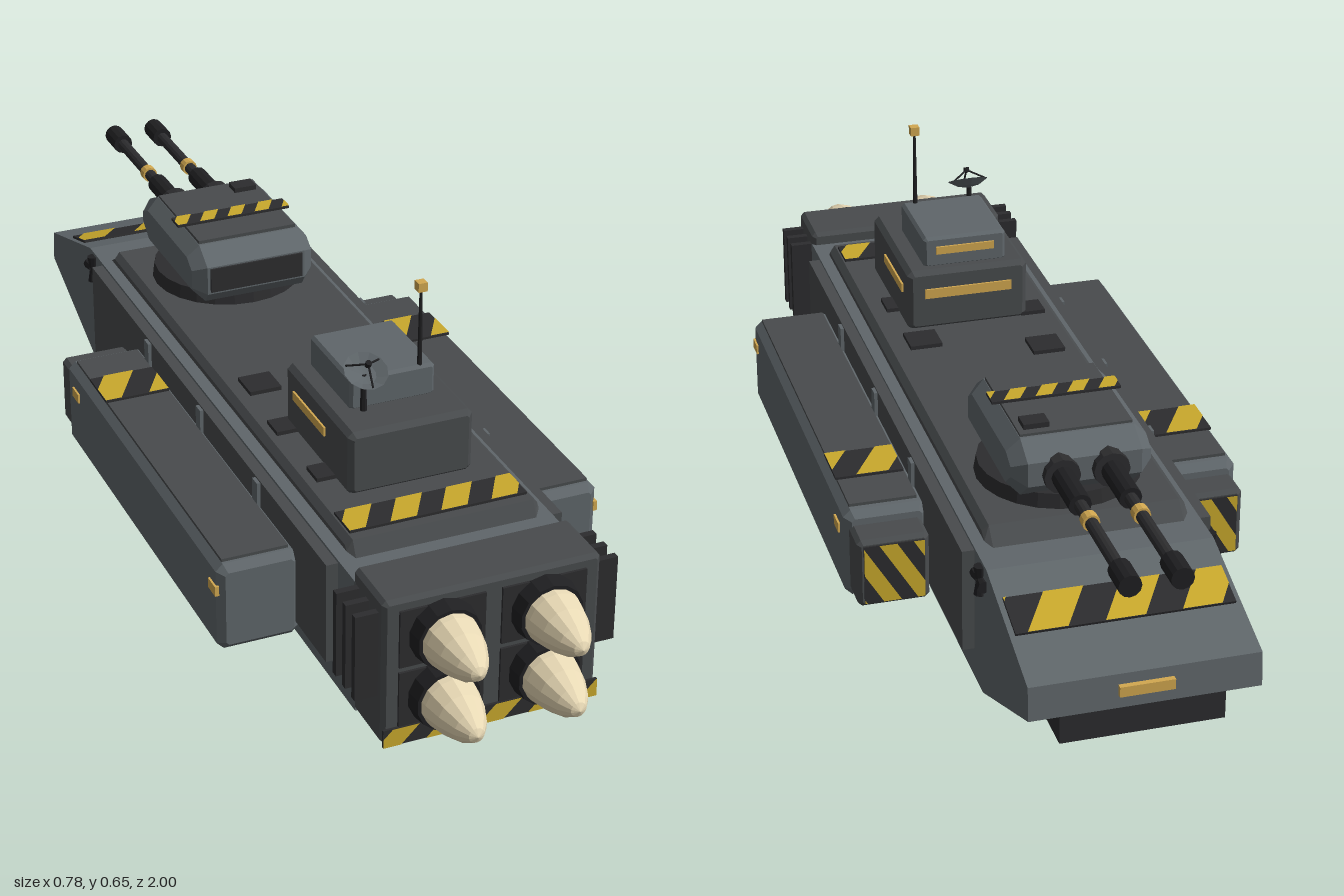
import * as THREE from 'three';

const mat = (color) => new THREE.MeshStandardMaterial({ color, flatShading: true, side: THREE.DoubleSide });
const M = {
  hull: mat(0x5f666a), panel: mat(0x484b4d), dark: mat(0x2c2c2e), black: mat(0x1f1f21),
  yellow: mat(0xc9a92c), gold: mat(0xd2a850), cream: mat(0xe8d9b5),
};

export function createModel() {
  const root = new THREE.Group();

  const add = (name, geo, m, x = 0, y = 0, z = 0, parent = root) => {
    const mesh = new THREE.Mesh(geo, m);
    mesh.name = name;
    mesh.position.set(x, y, z);
    parent.add(mesh);
    return mesh;
  };
  // plain box given by its extents
  const box = (name, m, x0, x1, y0, y1, z0, z1, parent) =>
    add(name, new THREE.BoxGeometry(x1 - x0, y1 - y0, z1 - z0), m,
      (x0 + x1) / 2, (y0 + y1) / 2, (z0 + z1) / 2, parent);
  // box with all edges chamfered by b
  const chamferBox = (name, m, x0, x1, y0, y1, z0, z1, b, parent) => {
    const w = (x1 - x0) / 2, h = (y1 - y0) / 2, d = z1 - z0;
    const s = new THREE.Shape([[w - b, -h], [w, b - h], [w, h - b], [w - b, h],
      [b - w, h], [-w, h - b], [-w, b - h], [b - w, -h]].map((p) => new THREE.Vector2(...p)));
    const g = new THREE.ExtrudeGeometry(s, { depth: d - 2 * b, bevelSize: b, bevelThickness: b, bevelOffset: -b, bevelSegments: 1 });
    g.translate(0, 0, b - d / 2);
    return add(name, g, m, (x0 + x1) / 2, (y0 + y1) / 2, (z0 + z1) / 2, parent);
  };
  // side profile of [z, y] points, extruded across x
  const profile = (name, m, pts, width, b, parent) => {
    const s = new THREE.Shape(pts.map(([z, y]) => new THREE.Vector2(-z, y)));
    const g = new THREE.ExtrudeGeometry(s, { depth: width - 2 * b, bevelEnabled: b > 0, bevelSize: b, bevelThickness: b, bevelOffset: -b, bevelSegments: 1 });
    g.translate(0, 0, b - width / 2);
    g.rotateY(Math.PI / 2);
    return add(name, g, m, 0, 0, 0, parent);
  };
  // cylinder along z between z0 and z1
  const rod = (name, m, r, x, y, z0, z1, parent, sides = 12) => {
    const g = new THREE.CylinderGeometry(r, r, Math.abs(z1 - z0), sides);
    g.rotateX(Math.PI / 2);
    return add(name, g, m, x, y, (z0 + z1) / 2, parent);
  };
  // cut a polygon at x = limit, keeping the side where sign * x is smaller
  const clip = (poly, limit, sign) => poly.flatMap((p, i) => {
    const q = poly[(i + 1) % poly.length];
    const inP = sign * p.x <= limit, inQ = sign * q.x <= limit;
    const cut = inP !== inQ ? [p.clone().lerp(q, (sign * limit - p.x) / (q.x - p.x))] : [];
    return inP ? [p, ...cut] : cut;
  });
  // dark plate with slanted yellow bands, facing its local +z
  const hazard = (name, w, h, period, x, y, z, rx = 0, ry = 0, slant = 0.6, parent = root) => {
    const g = new THREE.Group();
    g.name = name;
    g.position.set(x, y, z);
    g.rotation.set(rx, ry, 0);
    add('plate', new THREE.BoxGeometry(w, h, 0.005), M.dark, 0, 0, 0, g);
    const V = (a, b) => new THREE.Vector2(a, b), k = h * slant / 2;
    for (let a = -w / 2 - period; a < w / 2 + period; a += period) {
      const c = a + period * 0.52;
      let poly = [V(a - k, -h / 2), V(c - k, -h / 2), V(c + k, h / 2), V(a + k, h / 2)];
      poly = clip(clip(poly, w / 2, 1), w / 2, -1);
      if (poly.length > 2) add('stripe', new THREE.ShapeGeometry(new THREE.Shape(poly)), M.yellow, 0, 0, 0.004, g);
    }
    parent.add(g);
  };
  const UP = -Math.PI / 2;

  // hull with wedge bow
  profile('hull', M.hull, [[0.73, 0], [0.73, 0.27], [-0.7, 0.27], [-0.96, 0.19], [-0.965, 0.125], [-0.675, 0]], 0.42, 0);
  profile('deck', M.panel, [[0.655, 0.27], [0.64, 0.3], [-0.6, 0.3], [-0.63, 0.27]], 0.38, 0.012);
  box('bowLamp', M.gold, -0.05, 0.05, 0.15, 0.17, -0.972, -0.955);
  box('bowIntake', M.dark, -0.15, 0.15, 0.06, 0.125, -0.95, -0.86);
  hazard('bowStripes', 0.4, 0.085, 0.14, 0, 0.239, -0.81, UP - 0.298);
  hazard('sternStripes', 0.35, 0.07, 0.1, 0, 0.303, 0.585, UP);
  for (const [x, z, w] of [[-0.12, 0.055, 0.065], [0.11, 0.14, 0.065], [-0.138, 0.225, 0.05], [0.12, 0.315, 0.055], [-0.135, 0.41, 0.05]])
    box('deckHatch', M.dark, x - w / 2, x + w / 2, 0.298, 0.308, z - w / 2, z + w / 2);

  // parts mirrored on both sides
  for (const s of [1, -1]) {
    const side = new THREE.Group();
    side.name = s > 0 ? 'leftSide' : 'rightSide';
    root.add(side);
    const span = (a, b) => (s > 0 ? [a, b] : [-b, -a]);
    box('sidePanel', M.panel, ...span(0.205, 0.233), 0.06, 0.265, -0.62, 0.65, side);
    for (const z of [0.326, 0.03, -0.265])
      box('strut', M.hull, ...span(0.21, 0.24), 0.1, 0.262, z - 0.012, z + 0.012, side);
    chamferBox('pod', M.hull, ...span(0.222, 0.384), 0.03, 0.212, -0.345, 0.51, 0.014, side);
    box('podTop', M.panel, ...span(0.24, 0.37), 0.2, 0.218, -0.32, 0.49, side);
    chamferBox('podNose', M.panel, ...span(0.238, 0.375), 0.045, 0.185, -0.408, -0.33, 0.008, side);
    hazard('noseStripes', 0.115, 0.12, 0.065, s * 0.306, 0.115, -0.409, 0, Math.PI, -0.6, side);
    hazard('podStripes', 0.132, 0.098, 0.12, s * 0.308, 0.222, -0.178, UP, 0, 0.6, side);
    for (const z of [0.485, -0.285])
      box('podLamp', M.gold, ...span(0.38, 0.388), 0.15, 0.17, z - 0.018, z + 0.018, side);
    // radiator fins beside the engine block
    for (const z of [0.737, 0.778, 0.819])
      box('fin', M.dark, ...span(0.2, 0.254), 0.095, 0.268, z - 0.007, z + 0.007, side);
    // cross of small steering jets near the bow
    for (let i = 0; i < 4; i++) {
      const a = i * Math.PI / 2;
      const g = new THREE.CylinderGeometry(0.012, 0.008, 0.025, 8);
      g.translate(0, 0.016, 0);
      g.rotateX(a);
      add('steeringJet', g, M.black, s * 0.214, 0.235, -0.672, side);
    }
  }

  // engine block with four nozzles
  const engines = new THREE.Group();
  engines.name = 'engines';
  root.add(engines);
  chamferBox('engineBlock', M.panel, -0.21, 0.21, 0, 0.297, 0.715, 0.845, 0.008, engines);
  hazard('engineStripes', 0.42, 0.036, 0.1, 0, 0.018, 0.85, 0, 0, 1, engines);
  const flame = [[0.055, 0], [0.053, 0.03], [0.045, 0.068], [0.031, 0.105], [0.015, 0.128], [0, 0.135]];
  for (const x of [-0.098, 0.098]) for (const y of [0.09, 0.217]) {
    box('nozzlePanel', M.dark, x - 0.082, x + 0.082, y - 0.058, y + 0.058, 0.83, 0.85, engines);
    const ring = [[0.056, 0], [0.066, 0], [0.061, 0.033], [0.054, 0.033], [0.052, 0]];
    const parts = [['nozzleRing', ring, M.black, 0.848], ['exhaustCone', flame, M.cream, 0.864]];
    for (const [name, pts, m, z] of parts) {
      const g = new THREE.LatheGeometry(pts.map((p) => new THREE.Vector2(...p)), 14);
      g.rotateX(Math.PI / 2);
      add(name, g, m, x, y, z, engines);
    }
  }

  // bridge tower
  const bridge = new THREE.Group();
  bridge.name = 'bridge';
  root.add(bridge);
  chamferBox('bridgeLower', M.panel, -0.124, 0.124, 0.295, 0.425, 0.198, 0.5, 0.01, bridge);
  chamferBox('bridgeUpper', M.hull, -0.085, 0.085, 0.42, 0.486, 0.222, 0.412, 0.006, bridge);
  for (const s of [1, -1])
    box('sideWindow', M.gold, s * 0.125 - 0.003, s * 0.125 + 0.003, 0.366, 0.384, 0.24, 0.39, bridge);
  box('lowerWindow', M.gold, -0.09, 0.09, 0.366, 0.386, 0.194, 0.2, bridge);
  box('upperWindow', M.gold, -0.06, 0.06, 0.45, 0.466, 0.218, 0.224, bridge);
  add('antenna', new THREE.CylinderGeometry(0.003, 0.005, 0.16, 8), M.black, 0.057, 0.56, 0.403, bridge);
  box('antennaLamp', M.gold, 0.048, 0.066, 0.637, 0.655, 0.394, 0.412, bridge);

  // tilted dish with feed legs
  const dish = new THREE.Group();
  dish.name = 'dish';
  dish.position.set(-0.063, 0.497, 0.424);
  dish.rotation.x = 0.5;
  bridge.add(dish);
  add('bowl', new THREE.LatheGeometry([[0, 0], [0.022, 0.004], [0.042, 0.016]].map((p) => new THREE.Vector2(...p)), 12), M.hull, 0, 0, 0, dish);
  add('feed', new THREE.CylinderGeometry(0.006, 0.006, 0.01, 8), M.black, 0, 0.037, 0, dish);
  for (let i = 0; i < 3; i++) {
    const a = i * Math.PI * 2 / 3;
    const leg = new THREE.LineCurve3(new THREE.Vector3(0.038 * Math.sin(a), 0.015, 0.038 * Math.cos(a)), new THREE.Vector3(0, 0.037, 0));
    add('feedLeg', new THREE.TubeGeometry(leg, 1, 0.002, 5), M.black, 0, 0, 0, dish);
  }
  add('dishPost', new THREE.CylinderGeometry(0.005, 0.007, 0.075, 8), M.black, -0.063, 0.461, 0.422, bridge);

  // gun turret
  const turret = new THREE.Group();
  turret.name = 'turret';
  root.add(turret);
  add('turretRing', new THREE.CylinderGeometry(0.15, 0.155, 0.03, 24), M.dark, 0, 0.313, -0.43, turret);
  profile('turretBody', M.hull, [[-0.275, 0.324], [-0.26, 0.345], [-0.26, 0.405], [-0.305, 0.436], [-0.55, 0.438],
    [-0.6, 0.412], [-0.6, 0.365], [-0.55, 0.324]], 0.262, 0.025, turret);
  box('turretRoof', M.panel, -0.105, 0.105, 0.43, 0.443, -0.545, -0.31, turret);
  box('turretRearPanel', M.dark, -0.1, 0.1, 0.35, 0.402, -0.27, -0.256, turret);
  box('turretSight', M.dark, 0.046, 0.094, 0.44, 0.453, -0.53, -0.495, turret);
  hazard('turretStripes', 0.245, 0.04, 0.06, 0, 0.446, -0.403, UP, 0, 0.6, turret);
  for (const x of [-0.046, 0.046]) {
    rod('gunMount', M.dark, 0.034, x, 0.386, -0.57, -0.615, turret);
    rod('gunSleeve', M.black, 0.021, x, 0.386, -0.615, -0.72, turret);
    rod('barrel', M.dark, 0.012, x, 0.386, -0.7, -0.96, turret);
    rod('barrelBand', M.gold, 0.016, x, 0.386, -0.765, -0.785, turret);
    rod('muzzle', M.black, 0.021, x, 0.386, -0.94, -1, turret);
  }
  return root;
}
